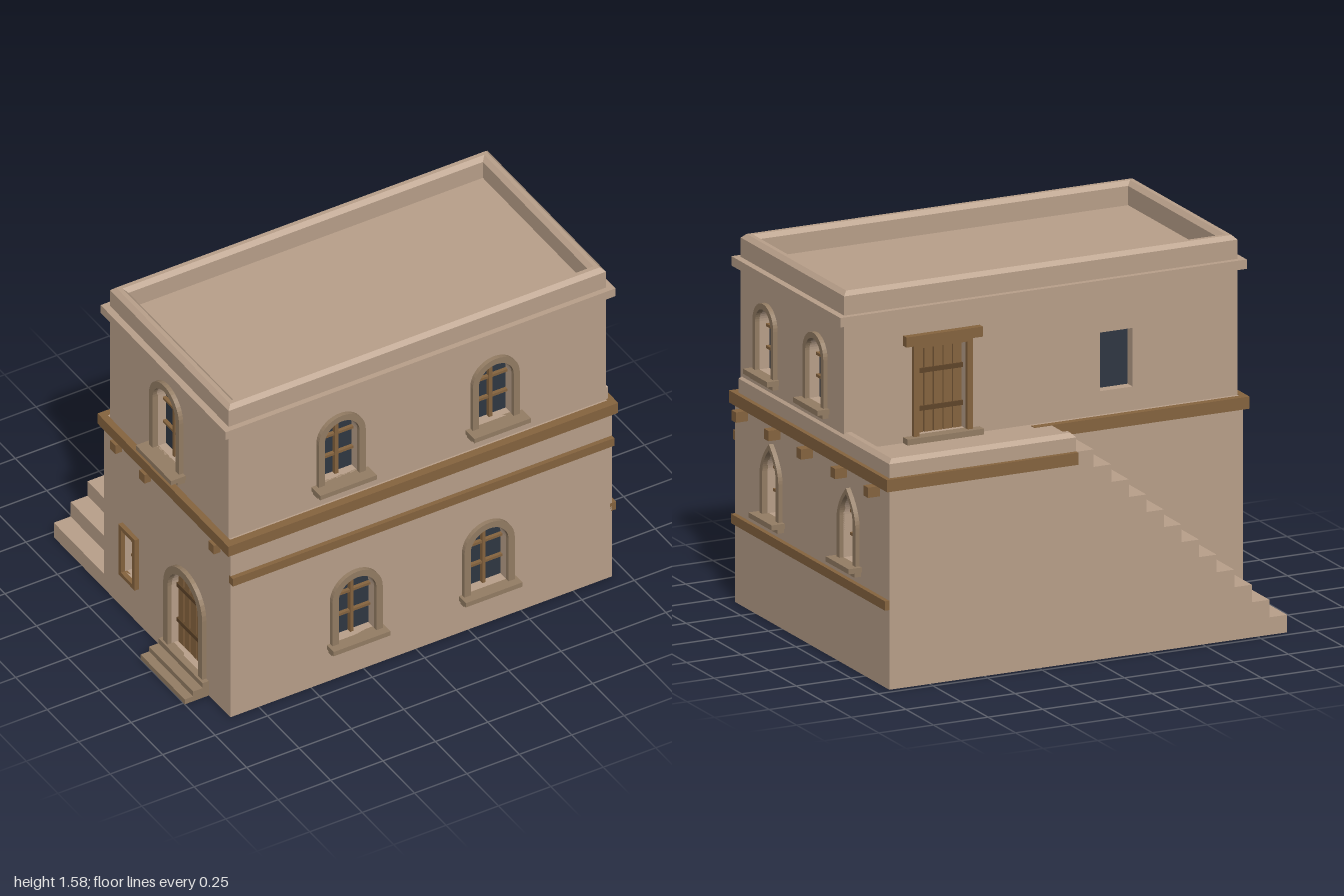
import * as THREE from 'three';

const mat = (color, side = THREE.FrontSide) => new THREE.MeshStandardMaterial({ color, side });
const WALL = mat(0xb9a08a, THREE.DoubleSide);
const STONE = mat(0x947d64);
const WOOD = mat(0x86643f);
const DARK = mat(0x5f4529);
const GLASS = mat(0x2f3743, THREE.DoubleSide);

function add(parent, name, geometry, material, x = 0, y = 0, z = 0) {
  const mesh = new THREE.Mesh(geometry, material);
  mesh.name = name;
  mesh.position.set(x, y, z);
  parent.add(mesh);
  return mesh;
}

// box given by its extents
function box(parent, name, material, x0, x1, y0, y1, z0, z1) {
  return add(parent, name, new THREE.BoxGeometry(x1 - x0, y1 - y0, z1 - z0), material,
    (x0 + x1) / 2, (y0 + y1) / 2, (z0 + z1) / 2);
}

const poly = (pts) => new THREE.Shape(pts.map(([x, y]) => new THREE.Vector2(x, y)));

// outline of an opening, from bottom right over the head to bottom left
function outline(o, grow = 0) {
  const h = o.h + grow, top = o.top + grow, pts = [[o.u + h, o.y0]];
  if (o.kind === 'rect') pts.push([o.u + h, top], [o.u - h, top]);
  else {
    const ys = o.kind === 'pointed' ? top - h * 1.75 : top - h, n = 10;
    for (let i = 0; i <= 2 * n; i++) {
      if (o.kind === 'pointed') {
        const s = i <= n ? 1 : -1, t = 1 - Math.abs(i - n) / n;
        pts.push([o.u + s * h * (1 - t ** 1.9), ys + (top - ys) * t]);
      } else {
        const a = (i / (2 * n)) * Math.PI;
        pts.push([o.u + h * Math.cos(a), ys + (top - ys) * Math.sin(a)]);
      }
    }
  }
  pts.push([o.u - h, o.y0]);
  return pts;
}

// horseshoe band around an opening, between depths z0 and z1
function surround(parent, name, material, o, width, z0, z1) {
  const shape = poly([...outline(o, width), ...outline(o).reverse()]);
  const geo = new THREE.ExtrudeGeometry(shape, { depth: z1 - z0, bevelEnabled: false });
  add(parent, name, geo, material, 0, 0, z0);
}

function fillOpening(g, o) {
  const { u, h, y0, top } = o, back = -0.045;
  surround(g, 'reveal', WALL, o, 0.006, back, 0);
  box(g, 'revealBase', WALL, u - h, u + h, y0 - 0.006, y0, back, 0);
  if (o.frame) surround(g, 'openingFrame', o.kind === 'rect' ? WOOD : STONE, o, o.frame, -0.005, 0.02);
  add(g, o.door ? 'doorBacking' : 'glass', new THREE.ShapeGeometry(poly(outline(o))), o.door ? DARK : GLASS, 0, 0, back);
  if (o.door) {
    // planks trimmed to follow the head of the doorway
    const n = 5, w = (2 * h) / n;
    for (let i = 0; i < n; i++) {
      const c = (i + 0.5) * w - h;
      const head = o.kind === 'rect' ? top : top - h + Math.sqrt(h * h - (Math.abs(c) + w * 0.3) ** 2);
      box(g, 'doorPlank', WOOD, u + c - w * 0.44, u + c + w * 0.44, y0, head, back - 0.005, back + 0.015);
    }
    for (const f of [0.25, 0.68])
      box(g, 'doorRail', DARK, u - h, u + h, y0 + (top - y0) * f, y0 + (top - y0) * f + 0.02, back, back + 0.022);
  } else if (!o.plain) {
    box(g, 'mullion', WOOD, u - 0.008, u + 0.008, y0, top - 0.004, back, back + 0.02);
    for (const f of [0.34, 0.68])
      box(g, 'glazingBar', WOOD, u - h, u + h, y0 + (top - y0) * f - 0.006, y0 + (top - y0) * f + 0.006, back, back + 0.016);
  }
  if (o.sill) {
    box(g, 'sill', STONE, u - o.sill, u + o.sill, y0 - 0.022, y0, -0.01, o.out);
    box(g, 'sillBase', STONE, u - o.sill + 0.008, u + o.sill - 0.008, y0 - 0.042, y0 - 0.022, -0.01, o.out * 0.5);
  }
}

// wall panel pierced by openings; turn 0 front, 1 left (+x), 2 back, 3 right (-x)
function wall(root, name, turn, dist, u0, u1, y0, y1, openings = []) {
  const g = new THREE.Group();
  g.name = name;
  const a = turn * Math.PI / 2;
  g.rotation.y = a;
  g.position.set(Math.sin(a) * dist, 0, Math.cos(a) * dist);
  const shape = poly([[u0, y0], [u1, y0], [u1, y1], [u0, y1]]);
  for (const o of openings) {
    shape.holes.push(new THREE.Path(outline(o).map(([x, y]) => new THREE.Vector2(x, y))));
    fillOpening(g, o);
  }
  add(g, 'wallSurface', new THREE.ShapeGeometry(shape), WALL);
  root.add(g);
  return g;
}

// plan outlines are given as [x, z]
const plan = (pts) => poly(pts.map(([x, z]) => [x, -z]));
const rect = (x0, x1, z0, z1) => [[x0, z0], [x0, z1], [x1, z1], [x1, z0]];

function slab(root, name, pts, y) {
  add(root, name, new THREE.ShapeGeometry(plan(pts)).rotateX(-Math.PI / 2), WALL, 0, y, 0);
}

// upright with chamfered upper edge
function coping(root, name, shape, y0, y1) {
  const b = 0.018;
  const geo = new THREE.ExtrudeGeometry(shape, {
    depth: y1 - y0 - 2 * b, bevelSize: b, bevelThickness: b, bevelOffset: -b, bevelSegments: 1,
  }).rotateX(-Math.PI / 2);
  add(root, name, geo, WALL, 0, y0 + b, 0);
}

export function createModel() {
  const root = new THREE.Group();
  root.name = 'house';

  // ground floor, L-shaped and open underneath
  const low = { y0: 0.19, top: 0.5, h: 0.09, frame: 0.03, sill: 0.135, out: 0.055 };
  wall(root, 'groundFrontWall', 0, 0.68, -0.885, 0.935, 0, 0.9, [{ ...low, u: -0.29 }, { ...low, u: 0.34 }]);
  const pointed = { y0: 0.455, top: 0.742, h: 0.06, frame: 0.026, sill: 0.105, out: 0.06, kind: 'pointed' };
  wall(root, 'groundLeftWall', 1, 0.935, -0.68, 0.72, 0, 0.9, [{ ...pointed, u: -0.335 }, { ...pointed, u: 0.365 }]);
  const entry = wall(root, 'groundRightWall', 3, 0.885, -0.32, 0.68, 0, 0.9, [
    { u: 0.335, y0: 0.075, top: 0.495, h: 0.12, frame: 0.035, door: true },
    { u: -0.11, y0: 0.2, top: 0.42, h: 0.045, frame: 0.02, kind: 'rect' },
  ]);
  box(entry, 'smallWindowLedge', WOOD, -0.175, -0.045, 0.18, 0.2, -0.01, 0.02);
  [0.115, 0.075, 0.03].forEach((d, i) =>
    box(entry, 'entryStep', STONE, 0.16, 0.51, i * 0.025, (i + 1) * 0.025, -0.01, d));
  wall(root, 'terraceBackWall', 2, 0.72, -0.935, -0.08, 0, 0.9);
  wall(root, 'groundBackWall', 2, 0.32, -0.08, 0.885, 0, 0.9);
  wall(root, 'terraceEndWall', 3, -0.08, -0.72, -0.32, 0, 0.9);
  slab(root, 'terraceFloor', [[-0.885, 0.68], [0.935, 0.68], [0.935, -0.72], [0.08, -0.72], [0.08, -0.32], [-0.885, -0.32]], 0.9);

  // upper floor
  const up = { y0: 1.01, top: 1.31, h: 0.083, frame: 0.029, sill: 0.135, out: 0.07 };
  wall(root, 'upperFrontWall', 0, 0.65, -0.875, 0.925, 0.9, 1.48, [{ ...up, u: -0.345 }, { ...up, u: 0.39 }]);
  const side = { y0: 1.045, top: 1.32, h: 0.07, frame: 0.025, sill: 0.11, out: 0.055 };
  wall(root, 'upperLeftWall', 1, 0.925, -0.65, 0.29, 0.9, 1.48, [{ ...side, u: -0.41 }, { ...side, u: 0.045 }]);
  wall(root, 'upperRightWall', 3, 0.875, -0.29, 0.65, 0.9, 1.48,
    [{ u: 0.17, y0: 1.0, top: 1.35, h: 0.09, frame: 0.03, sill: 0.14, out: 0.07 }]);
  const rear = wall(root, 'upperBackWall', 2, 0.29, -0.925, 0.875, 0.9, 1.48, [
    { u: -0.48, y0: 0.925, top: 1.3, h: 0.11, frame: 0.025, kind: 'rect', door: true },
    { u: 0.32, y0: 1.0, top: 1.25, h: 0.075, kind: 'rect', plain: true },
  ]);
  box(rear, 'doorLintel', WOOD, -0.655, -0.305, 1.315, 1.358, -0.01, 0.03);
  box(rear, 'doorThreshold', STONE, -0.655, -0.305, 0.9, 0.925, -0.01, 0.04);

  // roof, its parapet and the cornice
  slab(root, 'roof', rect(-0.875, 0.925, -0.29, 0.65), 1.48);
  const ring = plan(rect(-0.875, 0.925, -0.29, 0.65));
  ring.holes.push(plan(rect(-0.82, 0.87, -0.235, 0.595)));
  coping(root, 'roofParapet', ring, 1.45, 1.58);
  const cornice = plan(rect(-0.905, 0.955, -0.315, 0.675));
  cornice.holes.push(plan(rect(-0.87, 0.92, -0.285, 0.645)));
  add(root, 'cornice', new THREE.ExtrudeGeometry(cornice, { depth: 0.04, bevelEnabled: false }).rotateX(-Math.PI / 2), WALL, 0, 1.44, 0);

  // terrace parapet
  coping(root, 'terraceParapet', plan([[0.08, -0.72], [0.08, -0.66], [0.875, -0.66], [0.875, 0.65], [0.935, 0.65], [0.935, -0.72]]), 0.87, 0.98);

  // timber bands
  const band = (...e) => box(root, 'timberBand', WOOD, ...e);
  band(-0.905, 0.955, 0.85, 0.902, 0.66, 0.697);
  band(0.925, 0.955, 0.85, 0.902, -0.74, 0.66);
  band(0.08, 0.925, 0.85, 0.902, -0.74, -0.71);
  band(-0.905, -0.875, 0.85, 0.902, -0.34, 0.66);
  band(-0.875, 0.08, 0.85, 0.902, -0.34, -0.31);
  band(-0.885, 0.935, 0.69, 0.73, 0.67, 0.7);
  band(0.925, 0.955, 0.34, 0.38, -0.72, 0.68);

  // beam ends
  const beam = (x0, x1, z) => {
    box(root, 'beamEnd', WOOD, x0, x1, 0.803, 0.847, z - 0.021, z + 0.021);
  };
  for (const z of [0.585, 0.29, -0.005, -0.315, -0.615]) beam(0.92, 0.99, z);
  for (const z of [0.58, 0.03, -0.2]) beam(-0.917, -0.87, z);

  // outside stairs: treads, risers and the stepped flank
  const stairs = new THREE.Group();
  stairs.name = 'stairs';
  root.add(stairs);
  const steps = 12, run = 0.965 / steps, rise = 0.9 / steps, depth = 0.4;
  const flank = [[0.08, 0], [0.08, 0.9]];
  for (let i = steps - 1; i >= 0; i--) {
    const x = -0.885 + i * run, y = (i + 1) * rise;
    flank.push([x, y], [x, y - rise]);
    add(stairs, 'tread', new THREE.PlaneGeometry(run, depth).rotateX(-Math.PI / 2), WALL, x + run / 2, y, -0.52);
    add(stairs, 'riser', new THREE.PlaneGeometry(depth, rise).rotateY(-Math.PI / 2), WALL, x, y - rise / 2, -0.52);
  }
  const flankGeo = new THREE.ShapeGeometry(poly(flank.map(([x, y]) => [-x, y]))).rotateY(Math.PI);
  add(stairs, 'stairFlank', flankGeo, WALL, 0, 0, -0.72);

  return root;
}
